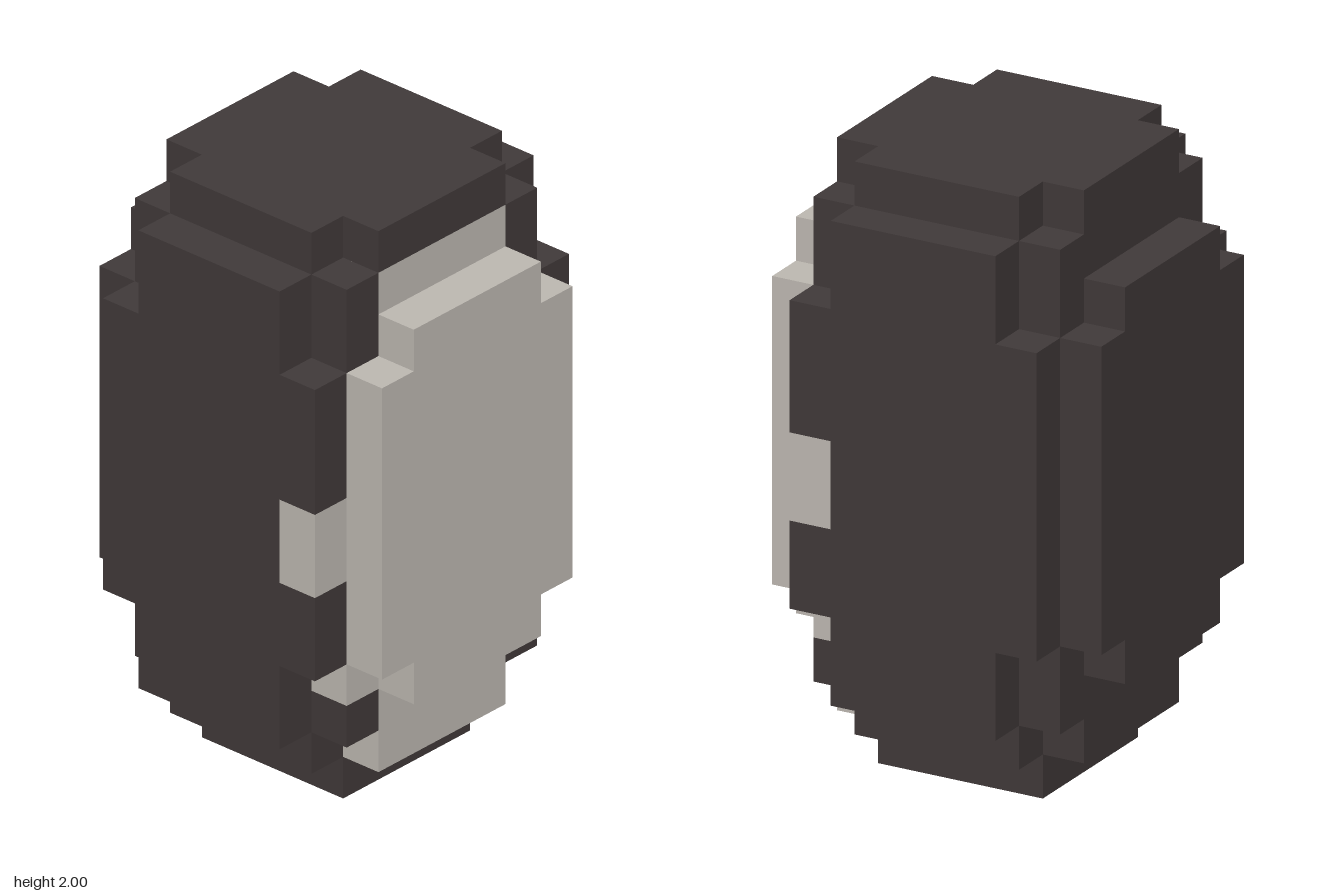
import * as THREE from 'three';

const U = 1 / 7; // edge of one block

export function createModel() {
  const model = new THREE.Group();
  model.name = 'blockFigure';
  const dark = new THREE.MeshStandardMaterial({ color: 0x413a3a });
  dark.name = 'charcoal';
  const light = new THREE.MeshStandardMaterial({ color: 0xbfbab3 });
  light.name = 'paleGrey';

  // Box between two corners, measured in blocks
  function block(name, material, [x0, x1], [y0, y1], [z0, z1]) {
    const geometry = new THREE.BoxGeometry((x1 - x0) * U, (y1 - y0) * U, (z1 - z0) * U);
    const mesh = new THREE.Mesh(geometry, material);
    mesh.position.set((x0 + x1) / 2 * U, (y0 + y1) / 2 * U, (z0 + z1) / 2 * U);
    mesh.name = name;
    model.add(mesh);
  }

  // Same box on the left (+x) and right (-x)
  function pair(name, material, [x0, x1], y, z) {
    block(name + 'Left', material, [x0, x1], y, z);
    block(name + 'Right', material, [-x1, -x0], y, z);
  }

  // Foot and the cross-shaped layer above it
  block('foot', dark, [-2, 2], [0, 1], [-2, 2]);
  block('lowerCrossWide', dark, [-3, 3], [1, 2], [-2, 2]);
  block('lowerCrossBack', dark, [-2, 2], [1, 2], [-3, -2]);

  // Body core, with a pale front core running down to the lower cross
  block('bodyCore', dark, [-3, 3], [2, 13], [-3, 2]);
  block('frontCore', light, [-2, 2], [1, 13], [2, 3]);

  // Front corner columns, each with one pale block
  pair('frontColumnBase', dark, [2, 3], [2, 3], [2, 3]);
  pair('frontColumnSpot', light, [2, 3], [3, 4], [2, 3]);
  pair('frontColumn', dark, [2, 3], [4, 13], [2, 3]);

  // Cross-shaped cap
  block('capWide', dark, [-3, 3], [13, 14], [-2, 2]);
  block('capFront', dark, [-2, 2], [13, 14], [2, 3]);
  block('capBack', dark, [-2, 2], [13, 14], [-3, -2]);

  // Raised belly and back panels with stepped corners
  for (const [name, material, z] of [['belly', light, [3, 4]], ['back', dark, [-4, -3]]]) {
    block(name + 'Panel', material, [-2, 2], [3, 12], z);
    pair(name + 'PanelEdge', material, [2, 3], [4, 11], z);
  }

  // Raised side panels, with a pale patch on the front edge
  pair('sidePanel', dark, [3, 4], [2, 13], [-2, 2]);
  pair('sidePanelBackEdge', dark, [3, 4], [4, 11], [-3, -2]);
  pair('sidePanelLowerEdge', dark, [3, 4], [4, 6], [2, 3]);
  pair('sidePatch', light, [3, 4], [6, 8], [2, 3]);
  pair('sidePanelUpperEdge', dark, [3, 4], [8, 11], [2, 3]);

  return model;
}
